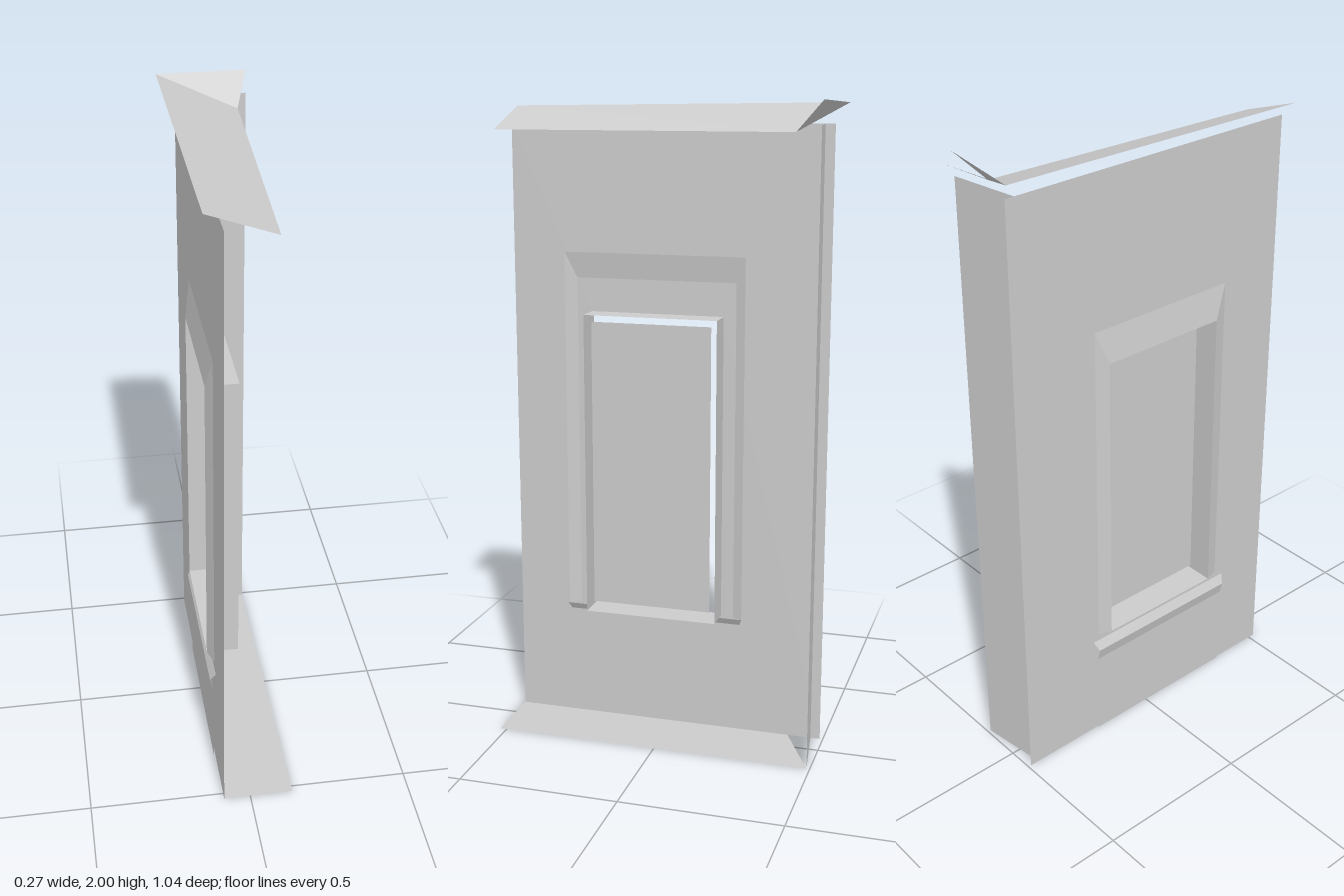
import * as THREE from 'three';

const material = new THREE.MeshStandardMaterial({
  color: 0xcccccc, flatShading: true, side: THREE.DoubleSide,
});

// Thin sheet through rows of points; neighbouring rows are joined by quads
function sheet(name, rows) {
  const pos = [];
  for (let r = 0; r < rows.length - 1; r++) {
    for (let i = 0; i < rows[r].length - 1; i++) {
      const a = rows[r][i], b = rows[r][i + 1], c = rows[r + 1][i + 1], d = rows[r + 1][i];
      pos.push(...a, ...b, ...c, ...a, ...c, ...d);
    }
  }
  return fromPositions(name, pos);
}

function fromPositions(name, pos) {
  const geo = new THREE.BufferGeometry();
  geo.setAttribute('position', new THREE.Float32BufferAttribute(pos, 3));
  geo.computeVertexNormals();
  const mesh = new THREE.Mesh(geo, material);
  mesh.name = name;
  return mesh;
}

// Closed rectangle in the wall's plane, as a loop of five points
const loop = (x, z0, z1, y0, y1) =>
  [[x, y0, z0], [x, y0, z1], [x, y1, z1], [x, y1, z0], [x, y0, z0]];

export function createModel() {
  const group = new THREE.Group();
  group.name = 'wallSection';
  const wallX = -0.083, backZ = -0.49, frontZ = 0.522, wallTop = 1.93;
  const win = [0.265, -0.16, 0.385, 1.35];

  // Long wall with the window opening cut through it
  group.add(sheet('longWall', [
    loop(wallX, frontZ, backZ, 0, wallTop),
    loop(wallX, ...win),
  ]));

  // Narrow end wall, slightly skewed
  group.add(sheet('endWall', [
    [[wallX, 0, -0.46], [0.135, 0, backZ]],
    [[wallX, wallTop, -0.46], [0.135, wallTop, backZ]],
  ]));

  // Floor strip, leaving a thin gap at the end wall
  group.add(sheet('floor', [
    [[wallX, 0, frontZ], [0.135, 0, frontZ]],
    [[wallX, 0, -0.385], [0.135, 0, backZ]],
  ]));

  // Sloping roof strip and the two folded flaps at its rear end
  const peak = [-0.135, 1.99, -0.522], valley = [0.098, 1.91, -0.41];
  group.add(sheet('roof', [
    [[-0.135, 1.978, frontZ], [0.06, 1.91, frontZ]],
    [peak, valley],
  ]));
  group.add(fromPositions('upperRoofFlap', [...peak, ...valley, 0.135, 2, -0.495]));
  group.add(fromPositions('lowerRoofFlap', [...peak, ...valley, 0.135, 1.97, -0.52]));

  // Window: open jamb tunnel with a free pane inside
  group.add(sheet('windowJamb', [loop(-0.1, ...win), loop(0, ...win)]));
  group.add(sheet('windowPane', [
    [[-0.03, 0.41, 0.25], [-0.03, 0.41, -0.135]],
    [[-0.03, 1.325, 0.25], [-0.03, 1.325, -0.135]],
  ]));

  // Flared surround on the top and both sides of the window
  const arch = (x, z0, z1, y0, y1) => [[x, y0, z0], [x, y1, z0], [x, y1, z1], [x, y0, z1]];
  group.add(sheet('windowSurround', [
    arch(-0.07, 0.35, -0.23, 0.38, 1.535),
    arch(-0.1, ...win),
  ]));

  // Sill and the apron below it
  const profile = [[-0.07, 0.38], [-0.1, 0.33], [-0.09, 0.29], [-0.088, 0]];
  group.add(sheet('sillApron', profile.map(([x, y], i) => {
    const inset = i ? 0.02 : 0;
    return [[x, y, 0.355 - inset], [x, y, -0.23 + inset]];
  })));

  return group;
}
